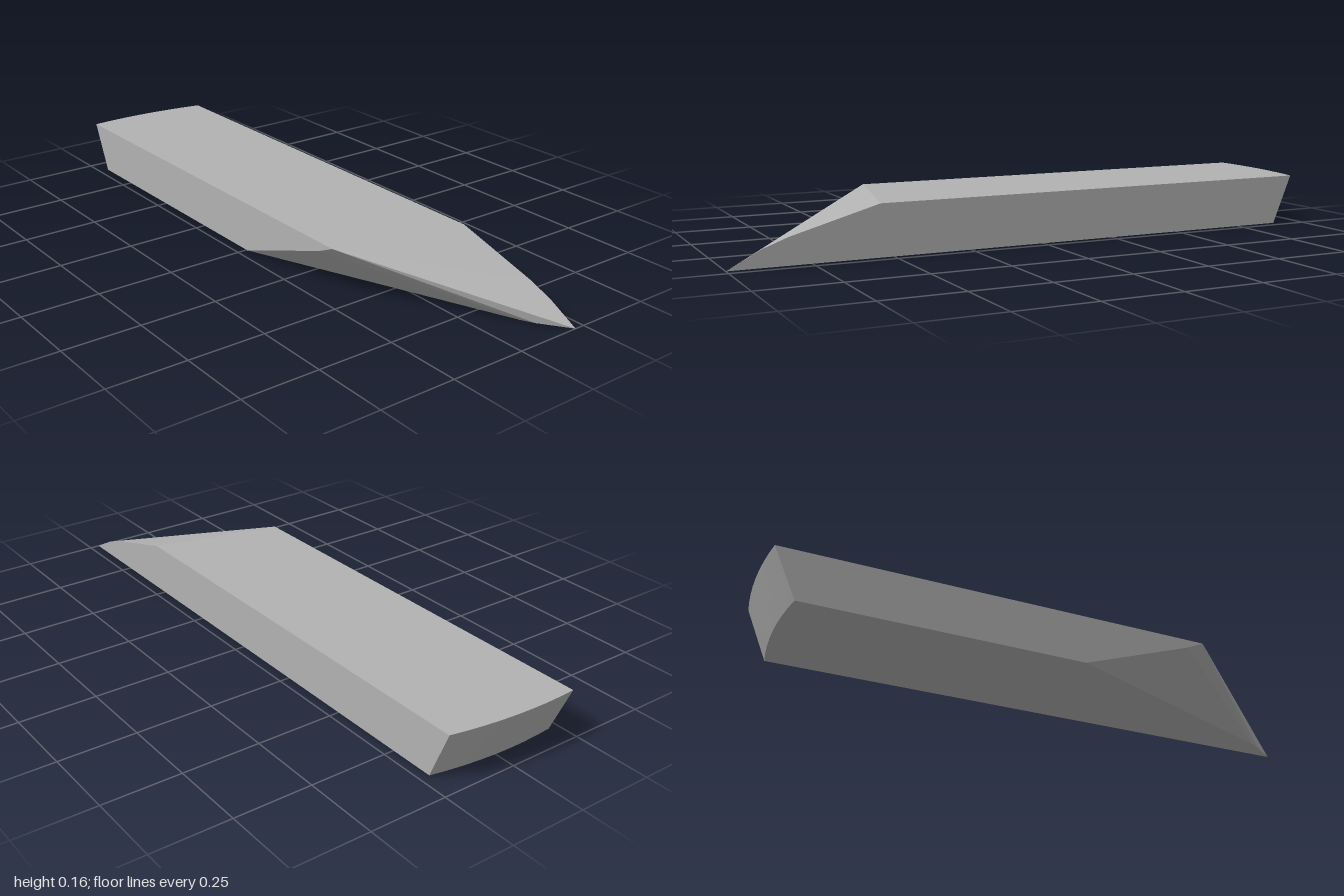
import * as THREE from 'three';

export function createModel() {
  const group = new THREE.Group();
  group.name = 'wedgeBlade';
  const grey = new THREE.MeshStandardMaterial({ color: 0xb2b2b2, flatShading: true });
  grey.name = 'plain grey';

  const H = 0.162, Z = 0.217;
  const v = (x, y, z) => new THREE.Vector3(x, y, z);

  // Each part is one or more convex polygons, corners counter-clockwise from outside
  function addPart(name, ...polygons) {
    const points = [];
    for (const p of polygons) {
      for (let i = 1; i < p.length - 1; i++) points.push(p[0], p[i], p[i + 1]);
    }
    const geometry = new THREE.BufferGeometry().setFromPoints(points);
    geometry.computeVertexNormals();
    const mesh = new THREE.Mesh(geometry, grey);
    mesh.name = name;
    group.add(mesh);
  }

  // Bowed, raked butt end: curves running from back to front
  const N = 8;
  const endCurve = (y, back, front, bulge) => Array.from({ length: N + 1 }, (_, i) => {
    const t = i / N;
    return v(back + (front - back) * t - bulge * 4 * t * (1 - t), y, -Z + 2 * Z * t);
  });
  const endTop = endCurve(H, -0.967, -0.996, 0.016);
  const endLow = endCurve(0, -0.9, -0.924, 0.018);

  // Point: top front corner, tip, and the chamfer outlines that meet there
  const corner = v(0.443, H, Z);
  const tip = v(1, 0, -Z);
  const backProfile = [v(0.54, H, -Z), v(0.82, 0.083, -Z), v(0.9, 0.053, -Z), tip];
  const frontLow = v(0.005, 0, Z);
  const frontMid = v(0.385, 0.135, Z);
  const keelEdge = [v(0.87, 0, -0.131), v(0.91, 0, -0.152), tip];

  addPart('topFace', [corner, backProfile[0], ...endTop]);
  addPart('bottomFace', [frontLow, ...[...endLow].reverse(), ...[...keelEdge].reverse()]);
  addPart('frontSide', [endLow[N], frontLow, frontMid, corner, endTop[N]]);
  addPart('backSide', [endLow[0], endTop[0], ...backProfile]);
  addPart('upperBevel', [corner, ...[...backProfile].reverse()]);
  addPart('lowerBevel', [frontMid, frontLow, keelEdge[0]], [corner, frontMid, ...keelEdge]);

  const strips = [];
  for (let i = 0; i < N; i++) strips.push([endLow[i], endLow[i + 1], endTop[i + 1], endTop[i]]);
  addPart('buttEnd', ...strips);

  return group;
}
